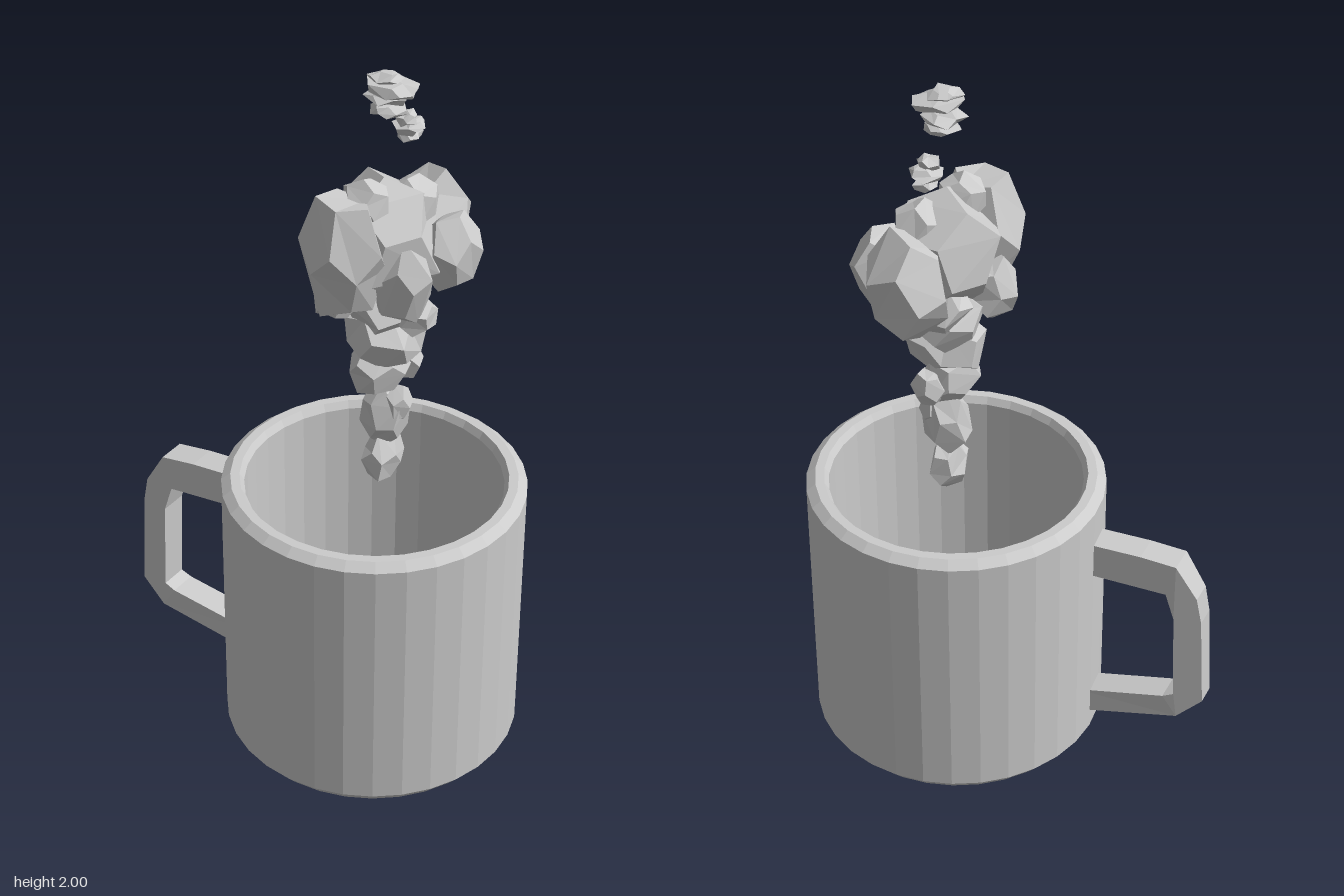
import * as THREE from 'three';

const material = new THREE.MeshStandardMaterial({ color: 0xcccccc, flatShading: true });

function part(name, geometry) {
  const mesh = new THREE.Mesh(geometry, material);
  mesh.name = name;
  return mesh;
}

// repeatable noise in -1..1 from a vertex position and a seed
function noise(v, seed) {
  const s = Math.sin(v.x * 12.99 + v.y * 78.23 + v.z * 37.72 + seed * 4.17) * 43758.55;
  return (s - Math.floor(s)) * 2 - 1;
}

// jagged faceted blob that exactly fills a box of half sizes [hx, hy, hz]
function blob(name, seed, center, half, jitter = 0.1) {
  const g = new THREE.DodecahedronGeometry(1);
  const pos = g.attributes.position;
  const v = new THREE.Vector3();
  for (let i = 0; i < pos.count; i++) {
    v.fromBufferAttribute(pos, i);
    v.set(...v.toArray().map((c) => Math.round(c * 100) / 100));
    v.multiplyScalar(1 + jitter * noise(v, seed));
    pos.setXYZ(i, v.x, v.y, v.z);
  }
  g.rotateX(seed * 1.3).rotateY(seed * 2.1).rotateZ(seed * 0.7);
  g.center();
  g.computeBoundingBox();
  const b = g.boundingBox.max;
  g.scale(half[0] / b.x, half[1] / b.y, half[2] / b.z);
  g.translate(...center);
  g.computeVertexNormals();
  return part(name, g);
}

function createCup() {
  const profile = [
    [0, 0], [0.375, 0], [0.41, 0.04], [0.41, 0.8], [0.385, 0.82],
    [0.36, 0.82], [0.348, 0.8], [0.348, 0.06], [0, 0.06],
  ].map(([x, y]) => new THREE.Vector2(x, y));
  const cup = part('cup', new THREE.LatheGeometry(profile, 32));
  cup.position.x = 0.16;
  return cup;
}

function createHandle() {
  const outline = [
    [-0.21, 0.695], [-0.38, 0.69], [-0.48, 0.68], [-0.54, 0.58], [-0.555, 0.5],
    [-0.57, 0.22], [-0.5, 0.15], [-0.21, 0.09],
    [-0.21, 0.165], [-0.46, 0.215], [-0.49, 0.23], [-0.48, 0.5], [-0.455, 0.58], [-0.21, 0.592],
  ].map(([x, y]) => new THREE.Vector2(x, y));
  const g = new THREE.ExtrudeGeometry(new THREE.Shape(outline), { depth: 1, bevelEnabled: false });
  // swing the handle slightly forward and thin it at the grip
  const pos = g.attributes.position;
  for (let i = 0; i < pos.count; i++) {
    const x = pos.getX(i);
    const middle = 0.04 - (x + 0.25) * 0.09;
    const width = x < -0.48 ? 0.08 + (x + 0.48) * 0.22 : 0.08;
    pos.setZ(i, middle + (pos.getZ(i) - 0.5) * width);
  }
  g.computeVertexNormals();
  return part('handle', g);
}

function createSteam() {
  const steam = new THREE.Group();
  steam.name = 'steam';

  // narrow rising column: centre, half sizes
  const column = [
    [[0.165, 0.875, -0.03], [0.05, 0.075, 0.065]],
    [[0.17, 1.01, -0.03], [0.063, 0.105, 0.06]],
    [[0.21, 1.05, -0.035], [0.035, 0.06, 0.04]],
    [[0.155, 1.16, -0.02], [0.078, 0.08, 0.085]],
    [[0.19, 1.15, -0.095], [0.05, 0.05, 0.04]],
    [[0.17, 1.255, -0.02], [0.1, 0.085, 0.095]],
    [[0.25, 1.33, -0.04], [0.05, 0.055, 0.06]],
    [[0.16, 1.34, -0.03], [0.09, 0.09, 0.09]],
  ];
  column.forEach(([c, h], i) => steam.add(blob('steamColumn', i + 1, c, h)));

  // billowing cloud
  const cloud = [
    [[0.17, 1.53, -0.03], [0.15, 0.185, 0.135]],
    [[0.133, 1.54, 0.11], [0.118, 0.16, 0.1]],
    [[0.195, 1.525, -0.19], [0.118, 0.155, 0.1]],
    [[0.31, 1.5, -0.11], [0.07, 0.11, 0.085]],
    [[0.24, 1.46, 0.01], [0.085, 0.13, 0.08]],
    [[0.08, 1.41, 0.06], [0.075, 0.095, 0.07]],
    [[0.16, 1.42, -0.1], [0.09, 0.08, 0.08]],
    [[0.15, 1.67, 0.04], [0.065, 0.062, 0.055]],
    [[0.21, 1.63, -0.08], [0.07, 0.07, 0.07]],
  ];
  cloud.forEach(([c, h], i) => steam.add(blob('steamCloud', i + 11, c, h)));

  // two detached wisps, each a stack of flattened jagged layers
  const wisps = [
    ['lowerWisp', [
      [[0.168, 1.787, -0.125], [0.034, 0.017, 0.032]],
      [[0.17, 1.813, -0.125], [0.046, 0.018, 0.044]],
      [[0.17, 1.836, -0.115], [0.036, 0.018, 0.03]],
    ]],
    ['upperWisp', [
      [[0.165, 1.898, -0.03], [0.048, 0.02, 0.045]],
      [[0.16, 1.93, -0.035], [0.055, 0.022, 0.065]],
      [[0.178, 1.958, -0.025], [0.068, 0.02, 0.05]],
      [[0.16, 1.982, -0.02], [0.045, 0.018, 0.04]],
    ]],
  ];
  wisps.forEach(([name, layers], w) => {
    layers.forEach(([c, h], i) => steam.add(blob(name, 21 + w * 5 + i, c, h, 0.25)));
  });
  return steam;
}

export function createModel() {
  const model = new THREE.Group();
  model.name = 'steamingMug';
  model.add(createCup(), createHandle(), createSteam());
  return model;
}
